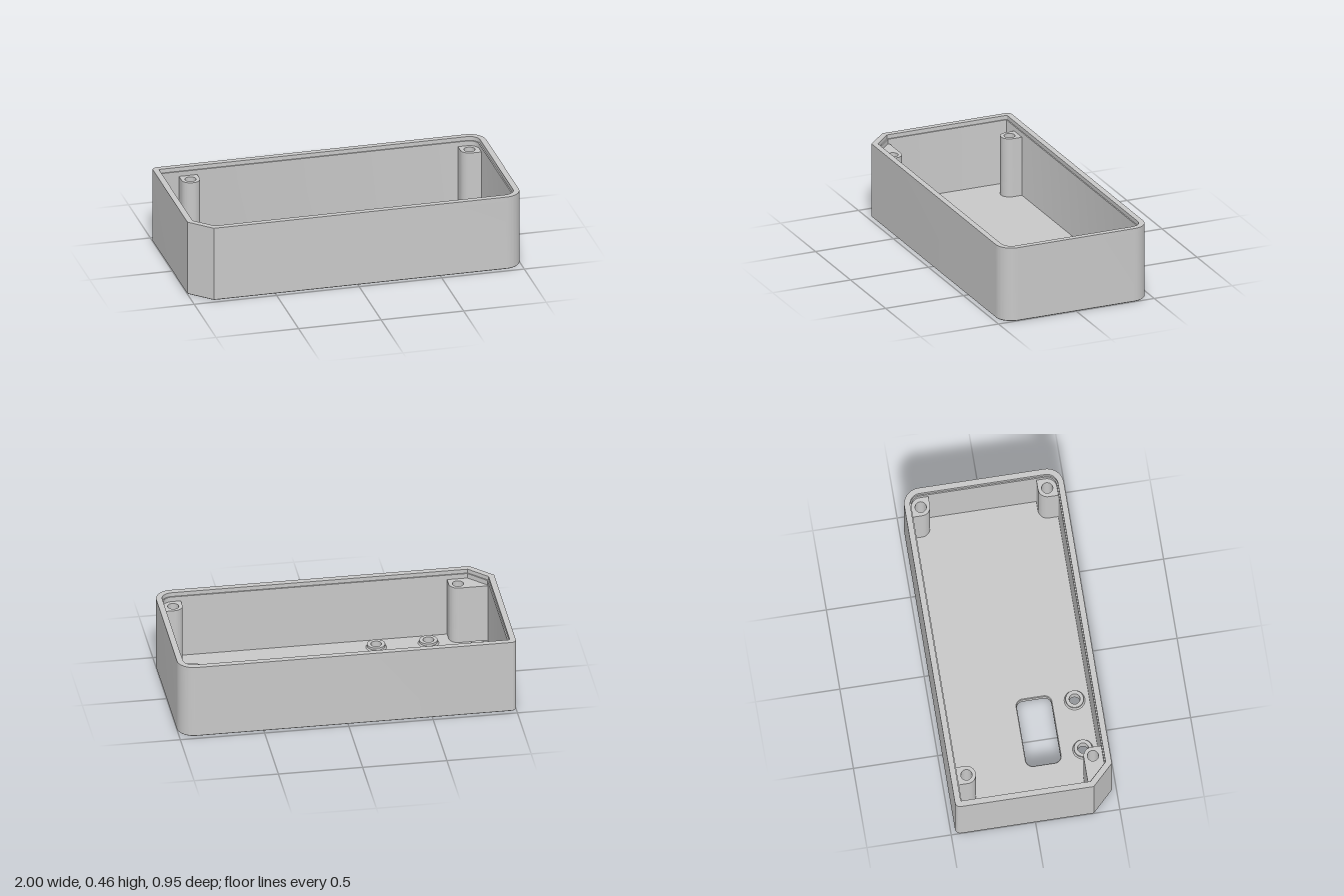
import * as THREE from 'three';
import { toCreasedNormals } from 'three/addons/utils/BufferGeometryUtils.js';

const W = 1, D = 0.473, H = 0.46, FLOOR = 0.04, LEDGE = 0.435, BEVEL = 0.004;

// Draws a closed plan from corners [x, z, radius], listed clockwise from above
function plan(corners, path = new THREE.Shape()) {
  const list = [...corners].reverse();
  const n = list.length;
  list.forEach(([x, z, r], i) => {
    const p = new THREE.Vector2(x, -z);
    const toward = (c) => new THREE.Vector2(c[0], -c[1]).sub(p).normalize();
    const a = toward(list[(i + n - 1) % n]);
    const b = toward(list[(i + 1) % n]);
    const t = r / Math.tan(a.angleTo(b) / 2);
    const s = p.clone().addScaledVector(a, t);
    const e = p.clone().addScaledVector(b, t);
    if (i === 0) path.moveTo(s.x, s.y); else path.lineTo(s.x, s.y);
    if (r > 0) {
      const k = 1 - 0.5523;
      const c1 = p.clone().addScaledVector(a, t * k);
      const c2 = p.clone().addScaledVector(b, t * k);
      path.bezierCurveTo(c1.x, c1.y, c2.x, c2.y, e.x, e.y);
    }
  });
  path.closePath();
  return path;
}

function circle(x, z, r) {
  return new THREE.Path().absarc(x, -z, r, 0, Math.PI * 2, false);
}

// Case outline moved inward by d, with one cut corner at the front
function outline(d, path) {
  const x = W - d, z = D - d;
  const cut = 0.127 - d * (2 - Math.SQRT2);
  const big = Math.max(0.1 - d, 0.05), small = Math.max(0.03 - d, 0.005);
  return plan([
    [-x, -z, small], [x, -z, big], [x, z, big],
    [-x + cut, z, 0], [-x, z - cut, 0],
  ], path);
}

export function createModel() {
  const group = new THREE.Group();
  const grey = new THREE.MeshStandardMaterial({ color: 0xc8c8c8 });
  grey.name = 'grey plastic';

  function add(name, geometry) {
    const mesh = new THREE.Mesh(toCreasedNormals(geometry, 0.6), grey);
    mesh.name = name;
    group.add(mesh);
    return mesh;
  }

  // Extrudes a plan upward between two heights
  function slab(name, shape, y0, y1, bevel = 0) {
    const geo = new THREE.ExtrudeGeometry(shape, {
      depth: y1 - y0 - 2 * bevel, curveSegments: 20, bevelEnabled: bevel > 0,
      bevelSize: bevel, bevelThickness: bevel, bevelOffset: -bevel, bevelSegments: 1,
    });
    geo.translate(0, 0, bevel);
    geo.rotateX(-Math.PI / 2);
    geo.translate(0, y0, 0);
    add(name, geo);
  }

  // Screw positions: corner posts and small standoffs
  const posts = [[-0.79, -0.376], [0.9, -0.376], [0.9, 0.374], [-0.79, 0.374]];
  const standoffs = [[-0.61, 0.344], [-0.3, 0.344]];

  // Floor with a window, wide screw recesses and standoff holes
  const floor = outline(0.0005);
  floor.holes.push(plan([
    [-0.666, 0.003, 0.04], [-0.248, 0.003, 0.04], [-0.248, 0.208, 0.04], [-0.666, 0.208, 0.04],
  ], new THREE.Path()));
  posts.forEach(([x, z]) => floor.holes.push(circle(x, z, 0.046)));
  standoffs.forEach(([x, z]) => floor.holes.push(circle(x, z, 0.032)));
  slab('floor', floor, 0, FLOOR, BEVEL);

  // Walls, thinner along the rim so that a small ledge is left inside
  const wall = outline(0);
  wall.holes.push(outline(0.042, new THREE.Path()));
  slab('wall', wall, BEVEL, LEDGE);
  const rim = outline(0);
  rim.holes.push(outline(0.035, new THREE.Path()));
  slab('rim', rim, LEDGE, H);

  // Posts merge into the nearest walls and are rounded on their free corners
  const r = 0.055, xi = W - 0.038, zi = D - 0.038;
  const postPlans = [
    [[-0.845, -zi, 0], [-0.735, -zi, 0], [-0.735, -0.321, r - 0.001], [-0.845, -0.321, r - 0.001]],
    [[0.845, -zi, 0], [xi, -zi, 0.06], [xi, -0.321, 0], [0.845, -0.321, r]],
    [[0.845, 0.319, r], [xi, 0.319, 0], [xi, zi, 0.06], [0.845, zi, 0]],
    [[-xi, 0.319, 0], [-0.735, 0.319, r], [-0.735, zi, 0], [-0.86, zi, 0], [-xi, 0.333, 0]],
  ];
  posts.forEach(([x, z], i) => {
    // Wide recess for the screw head below, narrow hole above
    [[0.046, FLOOR - 0.01, 0.13], [0.033, 0.13, 0.405]].forEach(([hole, y0, y1]) => {
      const shape = plan(postPlans[i]);
      shape.holes.push(circle(x, z, hole));
      slab('screwPost', shape, y0, y1);
    });
  });

  // Short round standoffs with a flared foot beside the window
  const profile = [
    [0.061, FLOOR], [0.053, FLOOR + 0.008], [0.053, 0.062], [0.032, 0.062], [0.032, FLOOR - 0.005],
  ].map(([x, y]) => new THREE.Vector2(x, y));
  standoffs.forEach(([x, z]) => {
    add('standoff', new THREE.LatheGeometry(profile, 40)).position.set(x, 0, z);
  });

  return group;
}
